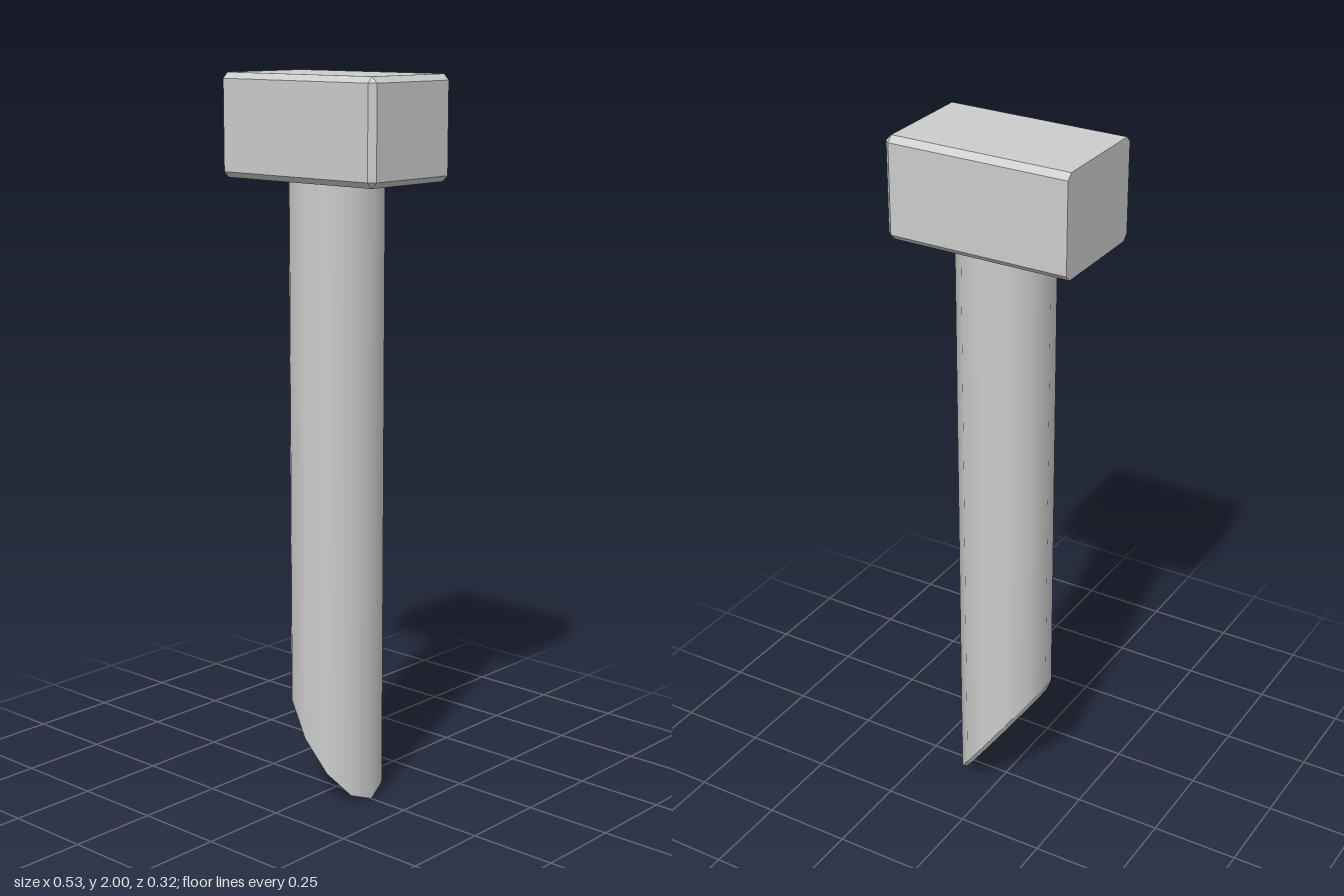
import * as THREE from 'three';
import { ConvexGeometry } from 'three/addons/geometries/ConvexGeometry.js';

const SIDES = 12, R = 0.131, R_CUT = 0.118, TOP = 1.722;

// height of the slanted cut at a given x
const cutY = (x) => 0.183 - 1.4 * x;

// head block: long edges and the +x end chamfered, -x end left square
function headGeometry() {
  const X = 0.263, H = 0.139, Z = 0.158, b = 0.016;
  const pts = [];
  for (const sy of [-1, 1]) for (const sz of [-1, 1]) {
    const add = (x, y, z) => pts.push(new THREE.Vector3(x, sy * y, sz * z));
    add(-X, H - b, Z);
    add(-X, H, Z - b);
    add(X - b, H - b, Z);
    add(X - b, H, Z - b);
    add(X, H - b, Z - b);
  }
  return new ConvexGeometry(pts);
}

// moves every vertex of a geometry in y by a rule
function shapeY(geometry, rule) {
  const p = geometry.attributes.position;
  for (let i = 0; i < p.count; i++) p.setY(i, rule(p.getX(i), p.getY(i)));
  return geometry;
}

export function createModel() {
  const group = new THREE.Group();
  const steel = new THREE.MeshStandardMaterial({ color: 0xcccccc });
  steel.name = 'steel grey';
  const add = (name, geometry) => {
    const mesh = new THREE.Mesh(geometry, steel);
    mesh.name = name;
    group.add(mesh);
    return mesh;
  };

  add('head', headGeometry()).position.y = 1.861;

  // round shank, its lower rim following the cut
  add('shank', shapeY(new THREE.CylinderGeometry(R, R, 1, SIDES, 1, true),
    (x, y) => (y > 0 ? TOP : cutY(x))));

  // narrow chamfer around the cut
  const rim = shapeY(new THREE.CylinderGeometry(R, R_CUT, 1, SIDES, 1, true),
    (x, y) => (y > 0 ? cutY(x) : cutY(x) - 0.018)).toNonIndexed();
  rim.computeVertexNormals();
  add('tipChamfer', rim);

  // slanted face closing the point
  const face = shapeY(new THREE.CircleGeometry(R_CUT, SIDES).rotateX(Math.PI / 2),
    (x) => cutY(x) - 0.018);
  face.computeVertexNormals();
  add('tipFace', face);

  return group;
}
